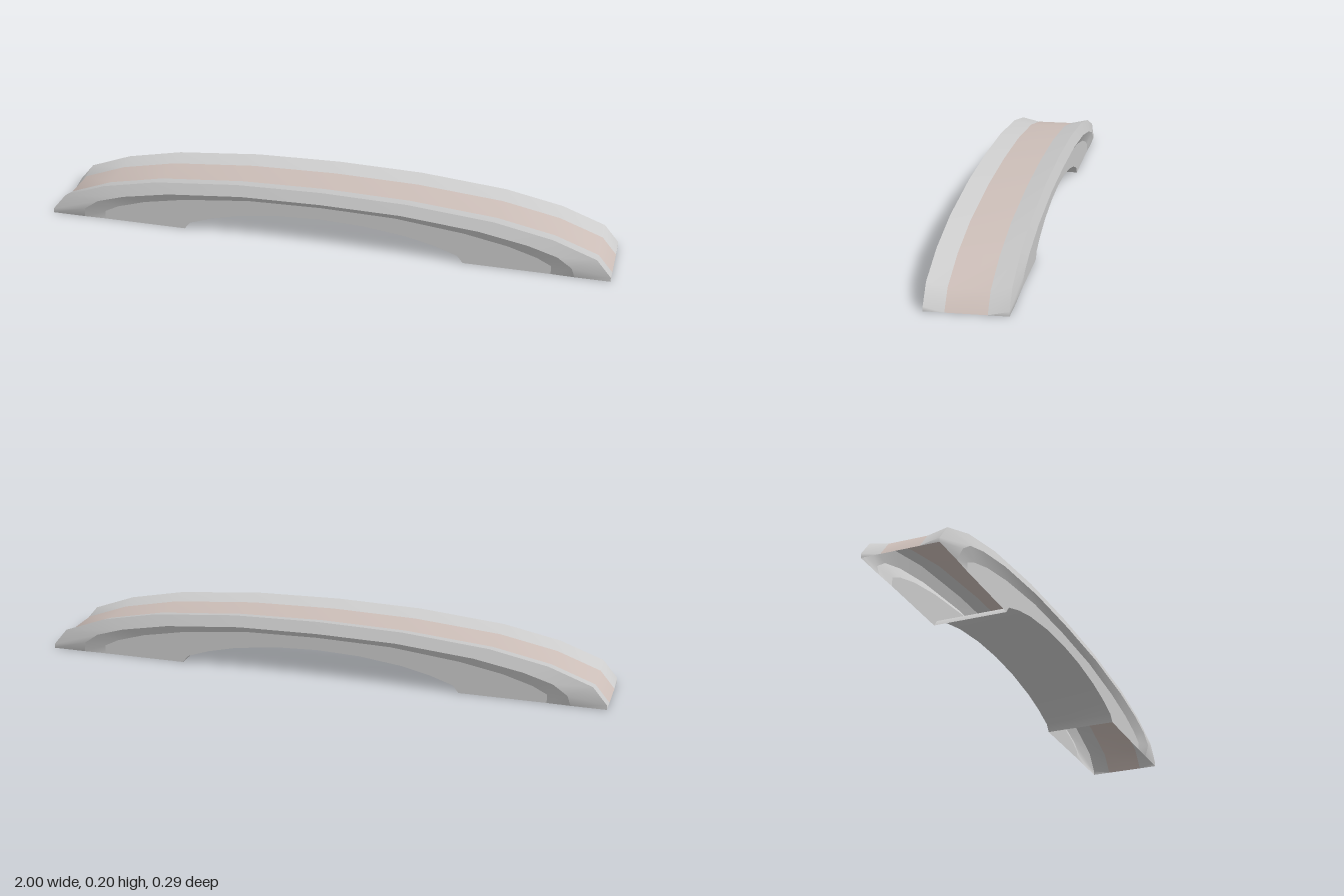
import * as THREE from 'three';

const grey = new THREE.MeshStandardMaterial({ color: 0xcccccc, side: THREE.DoubleSide });
const deckMat = new THREE.MeshStandardMaterial({ color: 0xccbeb8, side: THREE.DoubleSide });

// Long edges of the bridge, each from the +x foot to the middle: z offset and [x, y] points
const EDGES = {
  deck: { z: 0.065, pts: [[1, 0], [1, 0], [0.95, 0.06], [0.8, 0.115], [0.6, 0.155], [0.3, 0.181], [0, 0.188]] },
  rim: { z: 0.13, pts: [[1, 0], [1, 0.015], [0.95, 0.075], [0.8, 0.13], [0.6, 0.17], [0.3, 0.197], [0, 0.204]] },
  ridge: { z: 0.145, footZ: 0.13, pts: [[0.88, 0], [0.87, 0.04], [0.82, 0.075], [0.72, 0.105], [0.55, 0.136], [0.28, 0.16], [0, 0.165]] },
  ledge: { z: 0.128, pts: [[0.8, 0], [0.8, 0.03], [0.75, 0.055], [0.65, 0.085], [0.5, 0.113], [0.26, 0.139], [0, 0.145]] },
  soffit: { z: 0.128, pts: [[0.5, 0], [0.5, 0], [0.48, 0.025], [0.4, 0.052], [0.3, 0.075], [0.15, 0.094], [0, 0.1]] },
};

// Full edge from +x to -x, on the front (side = 1) or the back (side = -1)
function rail(name, side) {
  const { z, footZ = z, pts } = EDGES[name];
  const half = pts.map(([x, y], i) => new THREE.Vector3(x, y, side * (i === 0 ? footZ : z)));
  const mirrored = half.slice(0, -1).reverse().map((p) => new THREE.Vector3(-p.x, p.y, p.z));
  return [...half, ...mirrored];
}

// Band between two edges, smooth along its length and creased at its borders
function band(name, a, b, material = grey) {
  const pos = [], index = [];
  a.forEach((p, i) => pos.push(...p.toArray(), ...b[i].toArray()));
  const tri = (i, j, k) => {
    const [p, q, r] = [i, j, k].map((n) => new THREE.Vector3().fromArray(pos, n * 3));
    if (q.sub(p).cross(r.sub(p)).length() > 1e-8) index.push(i, j, k);
  };
  for (let i = 0; i < a.length - 1; i++) {
    const n = i * 2;
    tri(n, n + 2, n + 1);
    tri(n + 2, n + 3, n + 1);
  }
  const geo = new THREE.BufferGeometry();
  geo.setAttribute('position', new THREE.Float32BufferAttribute(pos, 3));
  geo.setIndex(index);
  geo.computeVertexNormals();
  const mesh = new THREE.Mesh(geo, material);
  mesh.name = name;
  return mesh;
}

export function createModel() {
  const group = new THREE.Group();
  group.name = 'archBridge';

  // Walkway on top and arched underside; the feet stay open below
  group.add(band('deck', rail('deck', -1), rail('deck', 1), deckMat));
  group.add(band('archUnderside', rail('soffit', 1), rail('soffit', -1)));

  // Sloped kerb, flared parapet, undercut and side wall on each side
  const order = ['deck', 'rim', 'ridge', 'ledge', 'soffit'];
  const parts = ['kerb', 'parapet', 'undercut', 'sideWall'];
  for (const side of [1, -1]) {
    parts.forEach((part, i) => {
      const upper = rail(order[i], side), lower = rail(order[i + 1], side);
      const name = (side > 0 ? 'front_' : 'back_') + part;
      group.add(side > 0 ? band(name, upper, lower) : band(name, lower, upper));
    });
  }
  return group;
}
